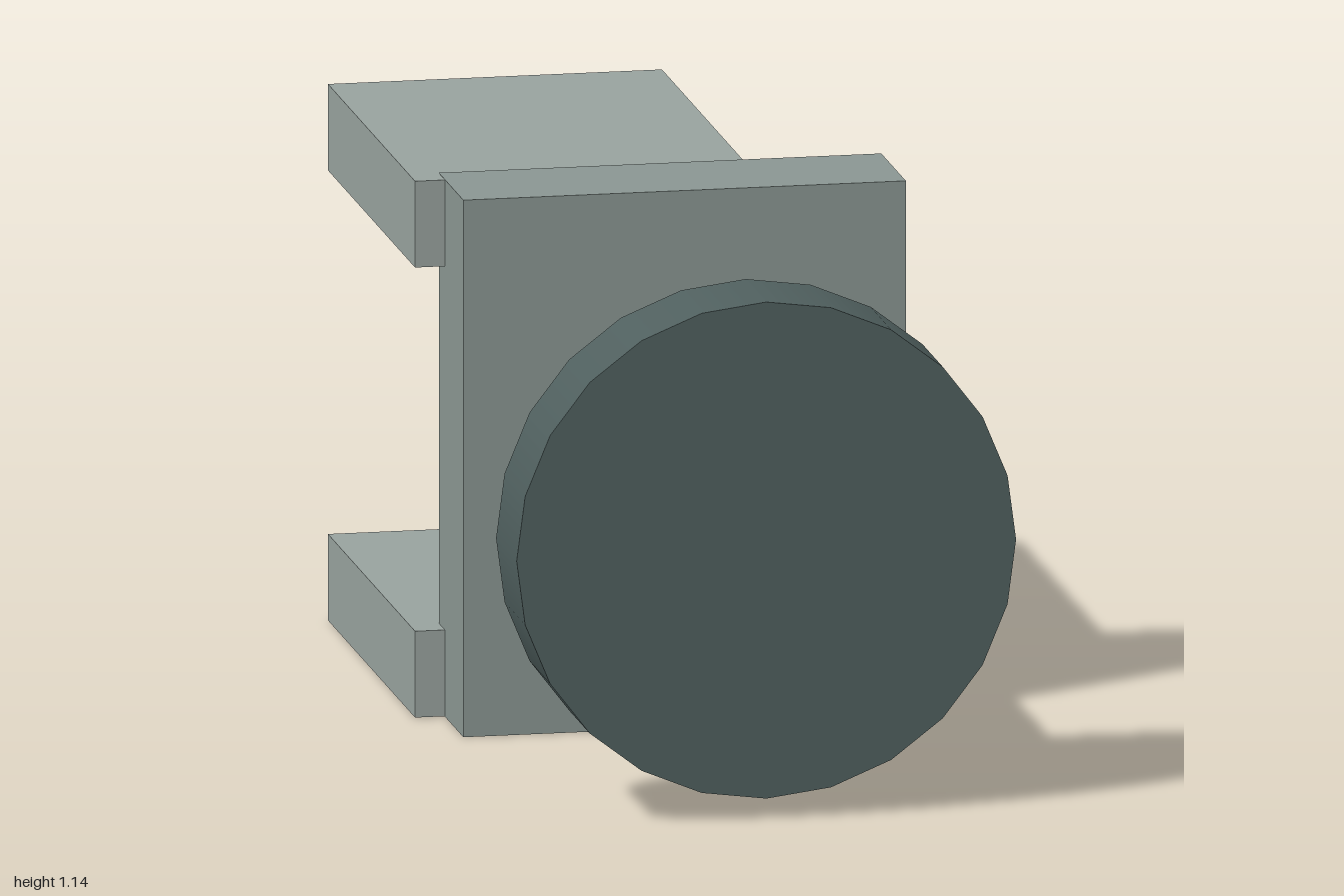
import * as THREE from 'three';

const material = (color) => new THREE.MeshStandardMaterial({ color });

// Box given by its extents on each axis
function slab(name, [x0, x1], [y0, y1], [z0, z1], mat) {
  const mesh = new THREE.Mesh(new THREE.BoxGeometry(x1 - x0, y1 - y0, z1 - z0), mat);
  mesh.position.set((x0 + x1) / 2, (y0 + y1) / 2, (z0 + z1) / 2);
  mesh.name = name;
  return mesh;
}

// Cylinder lying along z, with a vertex at the top
function rod(name, radius, z0, z1, y, mat) {
  const geometry = new THREE.CylinderGeometry(radius, radius, z1 - z0, 24).rotateX(Math.PI / 2);
  const mesh = new THREE.Mesh(geometry, mat);
  mesh.position.set(0, y, (z0 + z1) / 2);
  mesh.name = name;
  return mesh;
}

export function createModel() {
  const model = new THREE.Group();
  model.name = 'knobBracket';

  const height = 1.14, axis = height / 2, armThickness = 0.184;
  const plateMat = material(0x8a9692);
  const armMat = material(0x98a29e);

  // Upright plate
  model.add(slab('backPlate', [-0.467, 0.467], [0, height], [-0.135, 0.127], plateMat));

  // Two arms reaching backward, offset to one side and sunk into the plate;
  // a hair inside its outline so that the shared faces do not flicker
  const inset = 0.0008, armX = [-0.53, 0.175], armZ = [-1, -0.07];
  model.add(slab('lowerArm', armX, [inset, armThickness], armZ, armMat));
  model.add(slab('upperArm', armX, [height - armThickness, height - inset], armZ, armMat));

  // Shaft and round knob
  model.add(rod('shaft', 0.243, 0.12, 0.785, axis, material(0xa9b4b0)));
  model.add(rod('knob', 0.527, 0.78, 1, axis, material(0x50605f)));

  return model;
}
